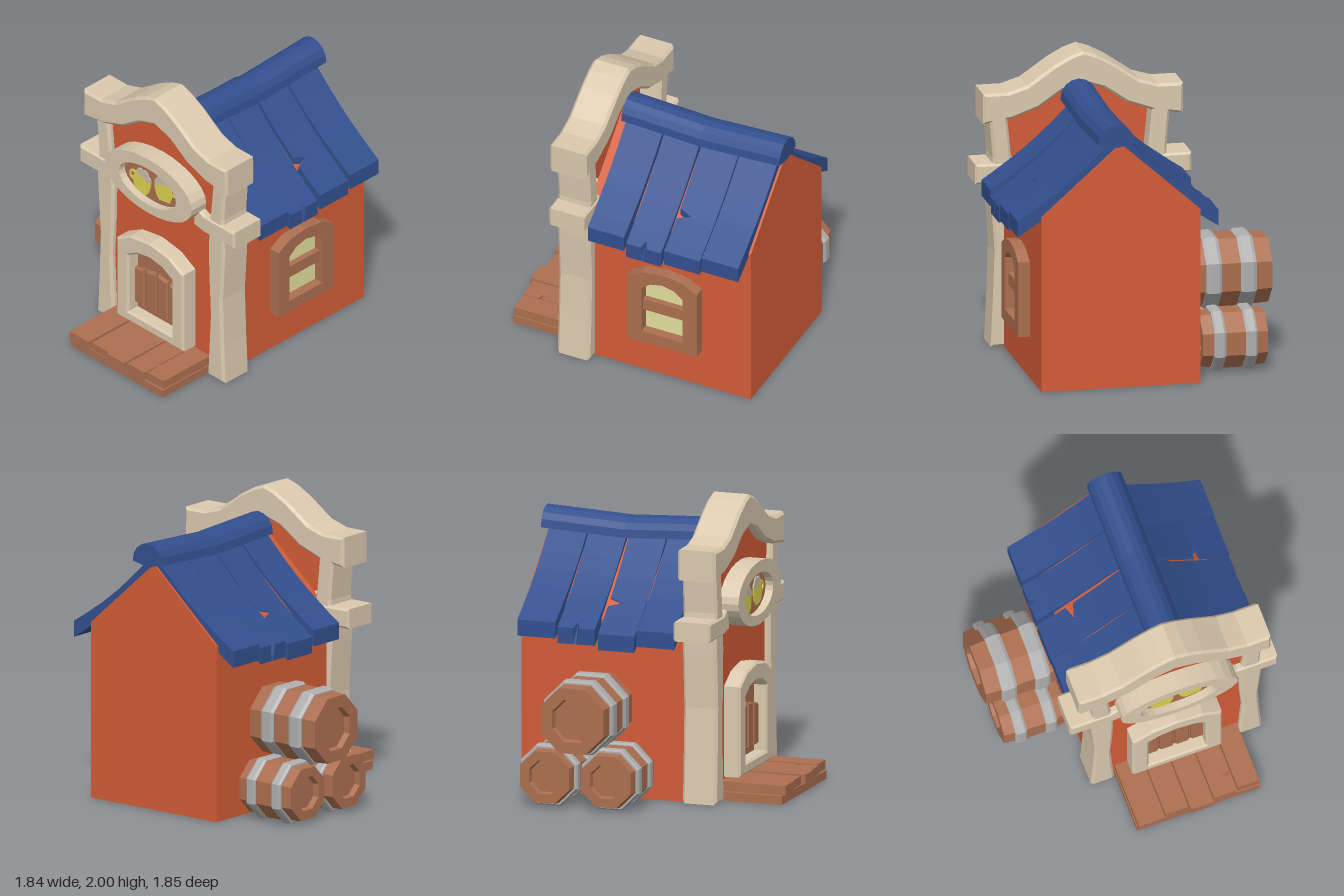
import * as THREE from 'three';

const mat = (name, color, side = THREE.FrontSide) => {
  const m = new THREE.MeshStandardMaterial({ color, side, flatShading: true });
  m.name = name;
  return m;
};

export function createModel() {
  const model = new THREE.Group();
  const wallOrange = mat('wall orange', 0xd25c37, THREE.DoubleSide);
  const stone = mat('pale stone', 0xdac9ae);
  const roofBlue = mat('roof blue', 0x324f8e);
  const wood = mat('wood brown', 0xac6f50);
  const iron = mat('iron grey', 0xafafaf);
  const glass = mat('window glass', 0xe2de9d);
  const ale = mat('ale yellow', 0xdfd250);
  const foam = mat('foam', 0xcabcae);
  const CX = 0.18;

  function add(name, geo, material, parent = model) {
    const mesh = new THREE.Mesh(geo, material);
    mesh.name = name;
    parent.add(mesh);
    return mesh;
  }
  function group(name, parent = model) {
    const g = new THREE.Group();
    g.name = name;
    parent.add(g);
    return g;
  }
  const toShape = pts => new THREE.Shape(pts.map(p => new THREE.Vector2(p[0], p[1])));
  // outline in xy, pushed out from z0 to z1, with an optional chamfer and hole
  function slab(pts, z0, z1, bevel = 0, hole = null) {
    const shape = toShape(pts);
    if (hole) shape.holes.push(toShape(hole));
    const geo = new THREE.ExtrudeGeometry(shape, {
      depth: z1 - z0 - 2 * bevel, bevelEnabled: bevel > 0, bevelSegments: 1,
      bevelSize: bevel, bevelThickness: bevel, bevelOffset: -bevel,
    });
    return geo.translate(0, 0, z0 + bevel);
  }
  function box(name, x0, x1, y0, y1, z0, z1, material, parent) {
    const geo = new THREE.BoxGeometry(x1 - x0, y1 - y0, z1 - z0);
    geo.translate((x0 + x1) / 2, (y0 + y1) / 2, (z0 + z1) / 2);
    return add(name, geo, material, parent);
  }
  const ellipse = (cx, cy, rx, ry, n = 28) => Array.from({ length: n }, (_, i) => {
    const a = (i / n) * Math.PI * 2;
    return [cx + rx * Math.cos(a), cy + ry * Math.sin(a)];
  });
  // straight-sided opening with a shallow faceted arch on top
  const arched = (cx, w, y0, y1, top) => [
    [cx - w, y0], [cx + w, y0], [cx + w, y1], [cx + w * 0.58, y1 + (top - y1) * 0.72],
    [cx, top], [cx - w * 0.58, y1 + (top - y1) * 0.72], [cx - w, y1],
  ];

  // board running along x, with optional dents in the top edge of one side or of its end
  function plank(place, z0, z1, { side = 0, at = 0.6, tip = 0 } = {}) {
    const ts = [0, 0.15, 0.3, 0.45, at - 0.04, at, at + 0.04, 0.87, 1];
    const cols = [0, 0.42, 0.5, 0.58, 1];
    const geo = new THREE.BoxGeometry(1, 1, 1, 8, 1, 4);
    const p = geo.attributes.position;
    for (let v = 0; v < p.count; v++) {
      const i = Math.round((p.getX(v) + 0.5) * 8), j = Math.round((p.getZ(v) + 0.5) * 4);
      const top = p.getY(v) > 0;
      let t = ts[i], c = cols[j];
      if (top && i === 8 && j === 2) t -= tip;
      if (top && i === 5 && side < 0 && j === 0) c = 0.36;
      if (top && i === 5 && side > 0 && j === 4) c = 0.64;
      c = 0.5 + (c - 0.5) * (1 - 0.025 * t);
      p.setXYZ(v, ...place(t, top), z0 + (z1 - z0) * c);
    }
    geo.computeVertexNormals();
    return geo;
  }

  // house body: open shell of side walls and roof slopes, closed by a back gable
  const gable = [[-0.36, 0], [-0.36, 1.2], [CX, 1.68], [0.72, 1.2], [0.72, 0]];
  const shell = new THREE.PlaneGeometry(1, 1, 4, 1).toNonIndexed();
  const sp = shell.attributes.position;
  for (let i = 0; i < sp.count; i++) {
    const [x, y] = gable[Math.round((sp.getX(i) + 0.5) * 4)];
    sp.setXYZ(i, x, y, sp.getY(i) > 0 ? -0.9 : 0.3);
  }
  shell.computeVertexNormals();
  add('houseWalls', shell, wallOrange);
  add('backGable', new THREE.ShapeGeometry(toShape(gable)).rotateY(Math.PI).translate(2 * CX, 0, -0.9), wallOrange);

  // roof: four sagging boards on each side
  const roof = group('roof');
  const strips = [[-0.043, 0.23, -0.008], [-0.316, -0.053, -0.05], [-0.602, -0.332, -0.023], [-0.885, -0.61, 0.007]];
  for (const s of [1, -1]) {
    const slope = group(s > 0 ? 'leftRoofSlope' : 'rightRoofSlope', roof);
    slope.position.x = 0.195;
    if (s < 0) slope.rotation.y = Math.PI;
    strips.forEach(([a, b, dy], i) => {
      const place = (t, top) =>
        [t * 0.683, 1.745 - 0.57 * t - 0.04 * Math.sin(Math.PI * t) + dy * t - (top ? 0 : 0.11)];
      const split = {};
      if (i === (s > 0 ? 2 : 1)) Object.assign(split, { side: 1, at: 0.67 });
      if (i === (s > 0 ? 1 : 2)) split.tip = 0.07;
      const [z0, z1] = s > 0 ? [a, b] : [-b, -a];
      add('roofBoard', plank(place, z0, z1, split), roofBlue, slope);
    });
  }
  // rounded ridge cap dips in the middle
  const capOutline = [[-0.125, 1.685], [0, 1.66], [0.125, 1.685]];
  for (let i = 1; i < 8; i++) {
    const a = i / 8 * Math.PI;
    capOutline.push([0.125 * Math.cos(a), 1.69 + 0.13 * Math.sin(a)]);
  }
  const cap = new THREE.ExtrudeGeometry(toShape(capOutline), { depth: 1.165, steps: 4, bevelEnabled: false });
  const cp = cap.attributes.position;
  for (let i = 0; i < cp.count; i++) {
    const k = cp.getZ(i) / 1.165 * 2 - 1;
    cp.setY(i, cp.getY(i) - 0.028 * (1 - Math.abs(k)));
  }
  cap.computeVertexNormals();
  add('ridgeCap', cap, roofBlue, roof).position.set(0.215, 0, -0.925);

  // front wall, posts, wavy top beam
  const facade = group('facade');
  const archLow = [[-0.66, 1.535], [-0.48, 1.565], [-0.3, 1.63], [-0.14, 1.74], [0, 1.785]];
  const archHigh = [[-0.66, 1.745], [-0.51, 1.745], [-0.38, 1.785], [-0.2, 1.91], [-0.09, 1.97], [0, 2]];
  const mirrored = half => [...half, ...half.slice(0, -1).reverse().map(([x, y]) => [-x, y])];
  const arch = [...mirrored(archLow), ...mirrored(archHigh).reverse()].map(([x, y]) => [
    CX + x * (Math.abs(x) > 0.65 ? 1.03 : 1), y]);
  add('wavyTopBeam', slab(arch, 0.25, 0.52, 0.018), stone, facade);
  add('frontWall', slab([[-0.3, 0], [0.69, 0], [0.69, 1.6],
    ...mirrored(archLow).slice(1, -1).reverse().map(([x, y]) => [CX + x, y + 0.02]), [-0.3, 1.6]], 0.4, 0.45),
  wallOrange, facade);
  const postOut = [[0.605, 0], [0.59, 0.3], [0.578, 0.65], [0.6, 1.0], [0.605, 1.12], [0.59, 1.3], [0.615, 1.6]];
  const postIn = [[0.495, 1.6], [0.465, 1.3], [0.445, 1.05], [0.45, 0.8], [0.465, 0.5], [0.45, 0.2], [0.44, 0]];
  for (const s of [1, -1]) {
    const pts = [...postOut, ...postIn].map(([x, y]) => [0.203 + s * x, y]);
    add('post', slab(pts, 0.25, 0.49, 0.018), stone, facade);
    const arm = [[0.735, 1.13], [0.735, 1.265], [0.45, 1.265], [0.36, 1.315], [0.34, 1.15], [0.44, 1.13]];
    add('crossBeam', slab(arm.map(([x, y]) => [CX + s * x, y]), 0.24, 0.5, 0.015), stone, facade);
  }

  // oval sign with two mugs
  const sign = group('ovalSign');
  add('signRing', slab(ellipse(0.188, 1.335, 0.413, 0.215), 0.43, 0.585, 0, ellipse(0.18, 1.328, 0.27, 0.142)), stone, sign);
  add('signPanel', slab(ellipse(0.18, 1.328, 0.275, 0.147), 0.45, 0.53), wood, sign);
  const mugSide = [[0.05, -0.085], [0.072, -0.05], [0.08, 0], [0.076, 0.045], [0.06, 0.07]];
  for (const s of [1, -1]) {
    const mug = group('mug', sign);
    mug.position.set(CX + s * 0.1, s > 0 ? 1.322 : 1.293, 0.53);
    mug.rotation.z = s * 0.16;
    add('mugBody', slab([...mugSide, ...mugSide.map(([x, y]) => [-x, y]).reverse()], 0, 0.008), ale, mug);
    add('mugHandle', slab(ellipse(s * 0.088, 0.008, 0.036, 0.04, 12), 0, 0.007, 0,
      ellipse(s * 0.092, 0.008, 0.017, 0.02, 12)), ale, mug);
    for (const [x, y, r] of [[-0.03, 0.068, 0.03], [0.015, 0.072, 0.034], [0.05, 0.05, 0.025]]) {
      add('mugFoam', slab(ellipse(-s * x, y, r, r, 10), 0, 0.0095), foam, mug);
    }
  }

  // door
  const door = group('door');
  add('doorFrame', slab(arched(CX, 0.317, 0.14, 0.755, 0.862), 0.43, 0.565, 0.014,
    arched(CX, 0.203, 0.218, 0.665, 0.735)), stone, door);
  add('doorPanel', slab(arched(CX, 0.23, 0.2, 0.68, 0.76), 0.44, 0.475), wood, door);
  [[-0.03, 0.545, 0.56], [0.08, 0.565, 0.58], [0.19, 0.58, 0.565], [0.3, 0.56, 0.54]].forEach(([x, l, r]) => {
    add('doorBoard', slab([[x, 0.265], [x + 0.094, 0.265], [x + 0.094, r], [x, l]], 0.47, 0.505, 0.01), wood, door);
  });

  // front step
  const step = group('frontStep');
  box('stepBase', -0.23, 0.64, 0, 0.058, 0.45, 0.893, wood, step);
  [[-0.225, -0.04, 0.915], [-0.03, 0.135, 0.895], [0.14, 0.305, 0.925], [0.312, 0.475, 0.9], [0.485, 0.64, 0.885]]
    .forEach(([a, b, end], i) => {
      const split = i === 2 ? { side: -1, at: 0.4 } : i === 3 ? { side: -1, at: 0.73 } : {};
      const lift = [0, -0.006, 0.003, -0.004, 0][i];
      const place = (t, top) => [0.4 + t * (end - 0.4), top ? 0.128 + lift : 0.065];
      add('stepBoard', plank(place, -b, -a, split), wood, step).rotation.y = -Math.PI / 2;
    });

  // side window
  const win = group('sideWindow');
  win.position.set(0.72, 0, -0.283);
  win.rotation.y = Math.PI / 2;
  add('windowFrame', slab(arched(0, 0.257, 0.285, 0.8, 0.88), 0, 0.08, 0, arched(0, 0.152, 0.37, 0.725, 0.795)), wood, win);
  add('windowPane', slab(arched(0, 0.16, 0.36, 0.73, 0.8), 0.003, 0.012), glass, win);
  box('windowBar', -0.155, 0.155, 0.535, 0.62, 0, 0.055, wood, win);

  // stacked barrels lying along x
  const lathe = pts => new THREE.LatheGeometry(
    pts.map(([r, y]) => new THREE.Vector2(r, y)), 8, Math.PI / 8);
  function barrel(x, y, z, half, rEnd, rMid, bandAt, bandW) {
    const g = group('barrel');
    g.position.set(x, y, z);
    g.rotation.z = -Math.PI / 2;
    const k = 1 / Math.cos(Math.PI / 8), e = rEnd * k, m = rMid * k, d = half - 0.04;
    add('barrelStaves', lathe([[0, -d], [e * 0.6, -d], [e * 0.64, -half], [e, -half], [m, -half * 0.3],
      [m, half * 0.3], [e, half], [e * 0.64, half], [e * 0.6, d], [0, d]]), wood, g);
    for (const s of [-1, 1]) {
      const c = s * bandAt, w = bandW / 2, r = m + 0.016;
      add('barrelHoop', lathe([[e * 0.95, c - w], [r - 0.012, c - w], [r, c - w * 0.6], [r, c + w * 0.6],
        [r - 0.012, c + w], [e * 0.95, c + w]]), iron, g);
    }
  }
  barrel(-0.645, 0.618, -0.337, 0.28, 0.221, 0.232, 0.118, 0.108);
  for (const z of [-0.555, -0.122]) barrel(-0.637, 0.208, z, 0.222, 0.174, 0.19, 0.107, 0.08);

  return model;
}
